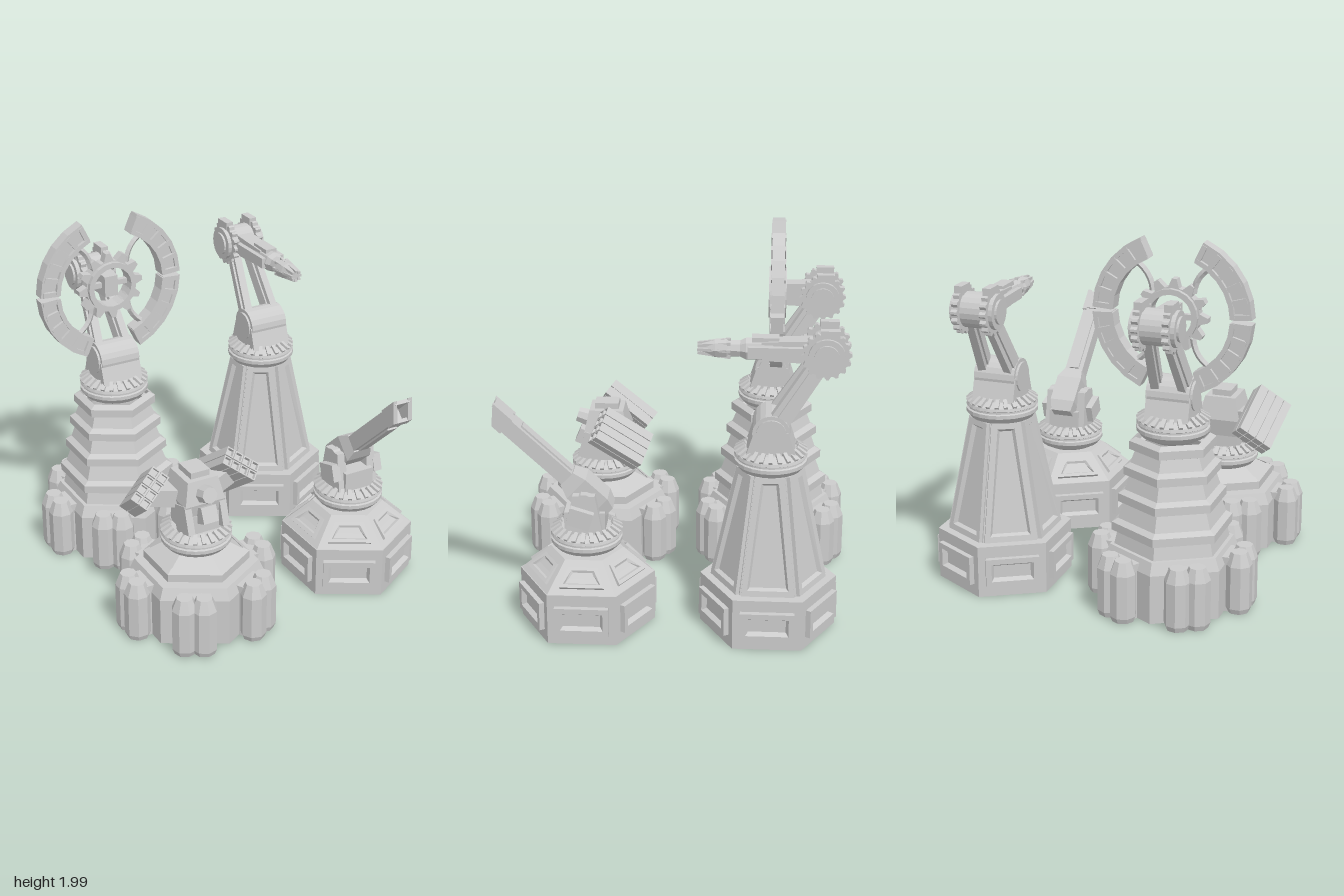
import * as THREE from 'three';

const mat = new THREE.MeshStandardMaterial({ color: 0xcccccc, flatShading: true, side: THREE.DoubleSide });
const V = (x, y, z) => new THREE.Vector3(x, y, z);

function add(parent, name, geo, x = 0, y = 0, z = 0, rx = 0, ry = 0, rz = 0) {
  const m = new THREE.Mesh(geo, mat);
  m.name = name;
  m.position.set(x, y, z);
  m.rotation.set(rx, ry, rz, 'YXZ');
  parent.add(m);
  return m;
}
function group(parent, name, x = 0, y = 0, z = 0, rx = 0, ry = 0, rz = 0) {
  const g = new THREE.Group();
  g.name = name;
  g.position.set(x, y, z);
  g.rotation.set(rx, ry, rz, 'YXZ');
  parent.add(g);
  return g;
}
const box = (w, h, d) => new THREE.BoxGeometry(w, h, d);
const lathe = (pts, n) => new THREE.LatheGeometry(pts.map(p => new THREE.Vector2(p[0], p[1])), n);
const drum = (r, len, n = 20) => new THREE.CylinderGeometry(r, r, len, n).rotateZ(Math.PI / 2);

// Skin over matching counter-clockwise loops, capped at both ends
function loft(loops) {
  const pos = [], n = loops[0].length;
  const tri = (a, b, c) => pos.push(...a.toArray(), ...b.toArray(), ...c.toArray());
  for (let i = 0; i < loops.length - 1; i++) for (let j = 0; j < n; j++) {
    const k = (j + 1) % n, A = loops[i], B = loops[i + 1];
    tri(A[j], A[k], B[k]);
    tri(A[j], B[k], B[j]);
  }
  const first = loops[0], last = loops[loops.length - 1];
  for (let j = 1; j < n - 1; j++) {
    tri(first[0], first[j + 1], first[j]);
    tri(last[0], last[j], last[j + 1]);
  }
  const g = new THREE.BufferGeometry();
  g.setAttribute('position', new THREE.Float32BufferAttribute(pos, 3));
  g.computeVertexNormals();
  return g;
}
// Trapezoid loop facing +z, given in half sizes
const trap = (wb, wt, h, z) => [V(-wb, -h, z), V(wb, -h, z), V(wt, h, z), V(-wt, h, z)];
// Raised frame with a sloped recess of border t
const frame = (wb, wt, h, z0, out, t, rec) => loft([
  trap(wb, wt, h, z0), trap(wb, wt, h, out), trap(wb - t, wt - t, h - t, out),
  trap(wb - t * 1.5, wt - t * 1.5, h - t * 1.5, rec)]);

// Tapered bar between two points
function beam(parent, name, a, b, w, h, w2 = w, h2 = h) {
  const m = add(parent, name, loft([trap(w / 2, w / 2, h / 2, 0), trap(w2 / 2, w2 / 2, h2 / 2, a.distanceTo(b))]));
  m.position.copy(a);
  parent.remove(m);
  m.lookAt(b);
  parent.add(m);
}
function extrude(shape, d) {
  return new THREE.ExtrudeGeometry(shape, { depth: d, bevelEnabled: false, curveSegments: 12 }).translate(0, 0, -d / 2);
}
function gear(n, r0, r1, hole, d) {
  const pts = [];
  for (let i = 0; i < n * 4; i++) {
    const a = (i / (n * 4)) * Math.PI * 2, r = i % 4 < 2 ? r1 : r0;
    pts.push(new THREE.Vector2(Math.cos(a) * r, Math.sin(a) * r));
  }
  const s = new THREE.Shape(pts);
  if (hole) s.holes.push(new THREE.Path().absarc(0, 0, hole, 0, Math.PI * 2, true));
  return extrude(s, d);
}
function arc(r0, r1, a0, a1, n, d) {
  const pts = [], p = (r, a) => pts.push(new THREE.Vector2(Math.cos(a) * r, Math.sin(a) * r));
  for (let i = 0; i <= n; i++) p(r1, a0 + (a1 - a0) * i / n);
  for (let i = n; i >= 0; i--) p(r0, a0 + (a1 - a0) * i / n);
  return extrude(new THREE.Shape(pts), d);
}

// One framed panel on each of the six faces
function facePanels(t, name, y, apothem, tilt, geo) {
  for (let k = 0; k < 6; k++) {
    const a = Math.PI / 6 + k * Math.PI / 3;
    add(t, name, geo, Math.sin(a) * apothem, y, Math.cos(a) * apothem, -tilt, a);
  }
}
// Toothed turntable whose top is at y
function collar(t, y) {
  add(t, 'turntable', lathe([[0.11, -0.15], [0.17, -0.12], [0.195, -0.09], [0.195, -0.07], [0.185, -0.065],
    [0.185, -0.055], [0.195, -0.05], [0.19, -0.035], [0.15, -0.01], [0, -0.01]], 24), 0, y);
  for (let i = 0; i < 24; i++) {
    const a = i * Math.PI / 12;
    add(t, 'turntableTooth', box(0.022, 0.022, 0.06), Math.sin(a) * 0.165, y - 0.016, Math.cos(a) * 0.165, 0.55, a);
  }
}
function panelBase(t) {
  add(t, 'hexBase', lathe([[0, 0], [0.37, 0], [0.37, 0.29], [0, 0.29]], 6));
  facePanels(t, 'basePanel', 0.145, 0.32, 0, frame(0.145, 0.145, 0.08, -0.02, 0.03, 0.03, 0.004));
}
function lobedBase(t) {
  add(t, 'baseCore', lathe([[0, 0], [0.37, 0], [0.37, 0.27], [0.34, 0.335], [0, 0.335]], 6));
  const col = lathe([[0, 0], [0.06, 0], [0.072, 0.03], [0.072, 0.27], [0.045, 0.34], [0, 0.34]], 8);
  for (let k = 0; k < 6; k++) {
    const lobe = group(t, 'baseLobe', 0, 0, 0, 0, Math.PI / 6 + k * Math.PI / 3);
    for (const s of [-1, 1]) add(lobe, 'lobeColumn', col, s * 0.052, 0, 0.39, 0, Math.PI / 8);
    add(lobe, 'lobeWeb', box(0.17, 0.31, 0.12), 0, 0.155, 0.335);
  }
}
// Hex rims stacked on a narrowing core: [y, radius]
function tiers(t, rims) {
  const pts = [[0.32, 0.32]];
  for (const [y, r] of rims) pts.push([r - 0.03, y - 0.035], [r, y - 0.025], [r, y + 0.02], [r - 0.035, y + 0.04]);
  add(t, 'tieredTower', lathe(pts, 6));
}
// Shoulder, twin converging arms and elbow
function armStage(t) {
  add(t, 'shoulderBlock', loft([trap(0.12, 0.12, 0.13, 0), trap(0.12, 0.12, 0.09, 0.13)]), 0, 1.04, 0, -Math.PI / 2);
  add(t, 'shoulderDrum', drum(0.1, 0.23), 0, 1.16);
  add(t, 'shoulderCap', drum(0.08, 0.255), 0, 1.16);
  for (const s of [-1, 1]) {
    beam(t, 'arm', V(s * 0.085, 1.16, 0), V(s * 0.05, 1.59, -0.275), 0.045, 0.11, 0.04, 0.1);
    beam(t, 'armRib', V(s * 0.08, 1.24, -0.05), V(s * 0.055, 1.52, -0.23), 0.065, 0.05);
    add(t, 'elbowGear', gear(16, 0.115, 0.13, 0, 0.035), s * 0.08, 1.59, -0.275, 0, Math.PI / 2);
    add(t, 'elbowHorn', box(0.045, 0.05, 0.1), s * 0.08, 1.7, -0.29);
  }
  add(t, 'elbowDrum', drum(0.095, 0.24), 0, 1.59, -0.275);
  add(t, 'elbowCap', drum(0.065, 0.265), 0, 1.59, -0.275);
}

function dishTower(root) {
  const t = group(root, 'dishTower', -0.43, 0, -0.53);
  lobedBase(t);
  tiers(t, [[0.44, 0.33], [0.6, 0.295], [0.75, 0.265], [0.89, 0.235]]);
  collar(t, 1.055);
  armStage(t);
  beam(t, 'dishNeck', V(0, 1.59, -0.275), V(0, 1.59, 0.01), 0.1, 0.14, 0.08, 0.12);
  const d = group(t, 'dish', 0, 1.59, -0.02);
  add(d, 'hubGear', gear(12, 0.15, 0.195, 0.115, 0.05));
  add(d, 'hubRing', lathe([[0.115, -0.05], [0.145, -0.05], [0.145, 0.05], [0.115, 0.05], [0.115, -0.05]], 20), 0, 0, 0, Math.PI / 2);
  add(d, 'hubBar', box(0.24, 0.03, 0.03), 0, 0, -0.02);
  for (const sx of [-1, 1]) for (const sy of [-1, 1]) {
    const seg = group(d, 'dishQuarter');
    seg.rotation.z = sx > 0 ? 0 : Math.PI;
    const a0 = 0.03, a1 = 1.17, q = sx * sy;
    const lo = q > 0 ? a0 : -a1, hi = q > 0 ? a1 : -a0;
    add(seg, 'arcPlate', arc(0.33, 0.42, lo, hi, 5, 0.045));
    add(seg, 'arcInnerRail', arc(0.315, 0.34, lo, hi, 5, 0.085));
    add(seg, 'arcOuterRail', arc(0.405, 0.43, lo, hi, 5, 0.07));
    for (let i = 0; i <= 5; i++) {
      const a = lo + (hi - lo) * (0.03 + 0.94 * i / 5);
      add(seg, 'arcRib', box(0.095, 0.028, 0.08), Math.cos(a) * 0.37, Math.sin(a) * 0.37, 0, 0, 0, a);
    }
    // Curved spoke from hub to arc
    const c = new THREE.QuadraticBezierCurve3(V(sx * 0.11, sy * 0.12, 0), V(sx * 0.12, sy * 0.22, 0), V(sx * 0.21, sy * 0.27, 0));
    add(d, 'spoke', new THREE.TubeGeometry(c, 6, 0.017, 4));
  }
}

function armGunTower(root) {
  const t = group(root, 'armGunTower', 0.55, 0, -0.53);
  panelBase(t);
  add(t, 'taperedTower', lathe([[0.3, 0.285], [0.16, 0.95], [0, 0.95]], 6));
  facePanels(t, 'towerPanel', 0.61, 0.2, 0.18, frame(0.142, 0.078, 0.325, -0.01, 0.022, 0.032, -0.004));
  collar(t, 1.055);
  armStage(t);
  const g = group(t, 'armGun', 0, 1.59, 0);
  beam(g, 'gunBody', V(0, 0, -0.275), V(0, 0, 0.06), 0.1, 0.13, 0.09, 0.1);
  for (const s of [-1, 1]) beam(g, 'gunSideRail', V(s * 0.055, 0, -0.2), V(s * 0.05, 0, 0.13), 0.045, 0.06);
  add(g, 'gunTopBlock', box(0.07, 0.04, 0.14), 0, 0.05, 0.04);
  add(g, 'gunHousing', lathe([[0, 0], [0.06, 0], [0.06, 0.14], [0.045, 0.17], [0.045, 0.23], [0.055, 0.24],
    [0.05, 0.3], [0.025, 0.385], [0, 0.385]], 8), 0, 0, 0, Math.PI / 2);
  for (let i = 0; i < 8; i++) {
    const a = i * Math.PI / 4, p = r => [Math.cos(a) * r, Math.sin(a) * r];
    beam(g, 'muzzleFin', V(...p(0.05), 0.22), V(...p(0.026), 0.39), 0.015, 0.015);
  }
}

function podTurret(root) {
  const t = group(root, 'podTurret', -0.43, 0, 0.46);
  lobedBase(t);
  tiers(t, [[0.37, 0.29]]);
  add(t, 'turretNeck', lathe([[0.26, 0.4], [0.17, 0.45]], 6));
  collar(t, 0.57);
  // Central head
  add(t, 'headPedestal', box(0.2, 0.12, 0.2), 0, 0.61);
  add(t, 'head', loft([trap(0.1, 0.1, 0.11, 0), trap(0.12, 0.12, 0.13, 0.1), trap(0.09, 0.09, 0.1, 0.23)]), 0, 0.64, -0.02, -Math.PI / 2);
  add(t, 'headTop', box(0.11, 0.05, 0.14), 0, 0.88, -0.02);
  add(t, 'sensor', new THREE.CylinderGeometry(0.045, 0.055, 0.08, 8), 0, 0.8, 0.12, Math.PI / 2 - 0.3);
  add(t, 'chin', box(0.09, 0.09, 0.08), 0, 0.68, 0.12, -0.4);
  for (const s of [-1, 1]) {
    add(t, 'cheek', box(0.04, 0.16, 0.14), s * 0.105, 0.65, 0.06, -0.3);
    beam(t, 'podArm', V(s * 0.08, 0.74, -0.05), V(s * 0.24, 0.76, -0.11), 0.12, 0.1);
    const p = group(t, 'launcherPod', s * 0.25, 0.765, -0.12, -0.62, s * 0.2, -s * 0.8);
    add(p, 'podBody', box(0.205, 0.09, 0.28));
    for (let i = 0; i < 4; i++) for (let j = 0; j < 2; j++)
      add(p, 'launchTube', frame(0.025, 0.025, 0.025, -0.16, 0.16, 0.007, 0.12), (i - 1.5) * 0.055, (j - 0.5) * 0.055, 0);
  }
}

function cannonTurret(root) {
  const t = group(root, 'cannonTurret', 0.55, 0, 0.46);
  panelBase(t);
  add(t, 'slopedRoof', lathe([[0.37, 0.285], [0.2, 0.43], [0, 0.43]], 6));
  facePanels(t, 'roofPanel', 0.357, 0.247, 0.86, frame(0.12, 0.08, 0.06, -0.01, 0.014, 0.02, 0));
  collar(t, 0.57);
  add(t, 'cannonPedestal', box(0.18, 0.12, 0.22), 0, 0.61);
  for (const s of [-1, 1]) {
    add(t, 'cannonCheek', loft([trap(0.03, 0.03, 0.1, 0), trap(0.025, 0.025, 0.06, 0.22)]), s * 0.095, 0.56, 0, -Math.PI / 2);
    add(t, 'sideLug', box(0.05, 0.1, 0.13), s * 0.135, 0.66, 0.02, -0.3);
  }
  add(t, 'trunnion', drum(0.05, 0.24, 10), 0, 0.74);
  const g = group(t, 'cannon', 0, 0.76, 0, -0.755);
  add(g, 'breech', loft([trap(0.06, 0.06, 0.05, -0.16), trap(0.075, 0.075, 0.075, -0.1),
    trap(0.075, 0.075, 0.075, 0.06), trap(0.055, 0.055, 0.05, 0.13)]));
  add(g, 'barrel', box(0.11, 0.085, 0.5), 0, 0, 0.32);
  add(g, 'barrelRail', box(0.06, 0.105, 0.36), 0, 0, 0.32);
  // Slanted open muzzle
  const side = new THREE.Shape([[0.56, -0.052], [0.62, -0.052], [0.7, 0.05], [0.56, 0.05]].map(p => new THREE.Vector2(...p)));
  for (const s of [-1, 1]) add(g, 'muzzleSide', extrude(side, 0.025), s * 0.047, 0, 0, 0, -Math.PI / 2);
  add(g, 'muzzleTop', box(0.1, 0.02, 0.12), 0, 0.04, 0.63);
  add(g, 'muzzleBottom', box(0.1, 0.02, 0.06), 0, -0.042, 0.59);
}

export function createModel() {
  const root = new THREE.Group();
  root.name = 'turretSet';
  dishTower(root);
  armGunTower(root);
  podTurret(root);
  cannonTurret(root);
  return root;
}
